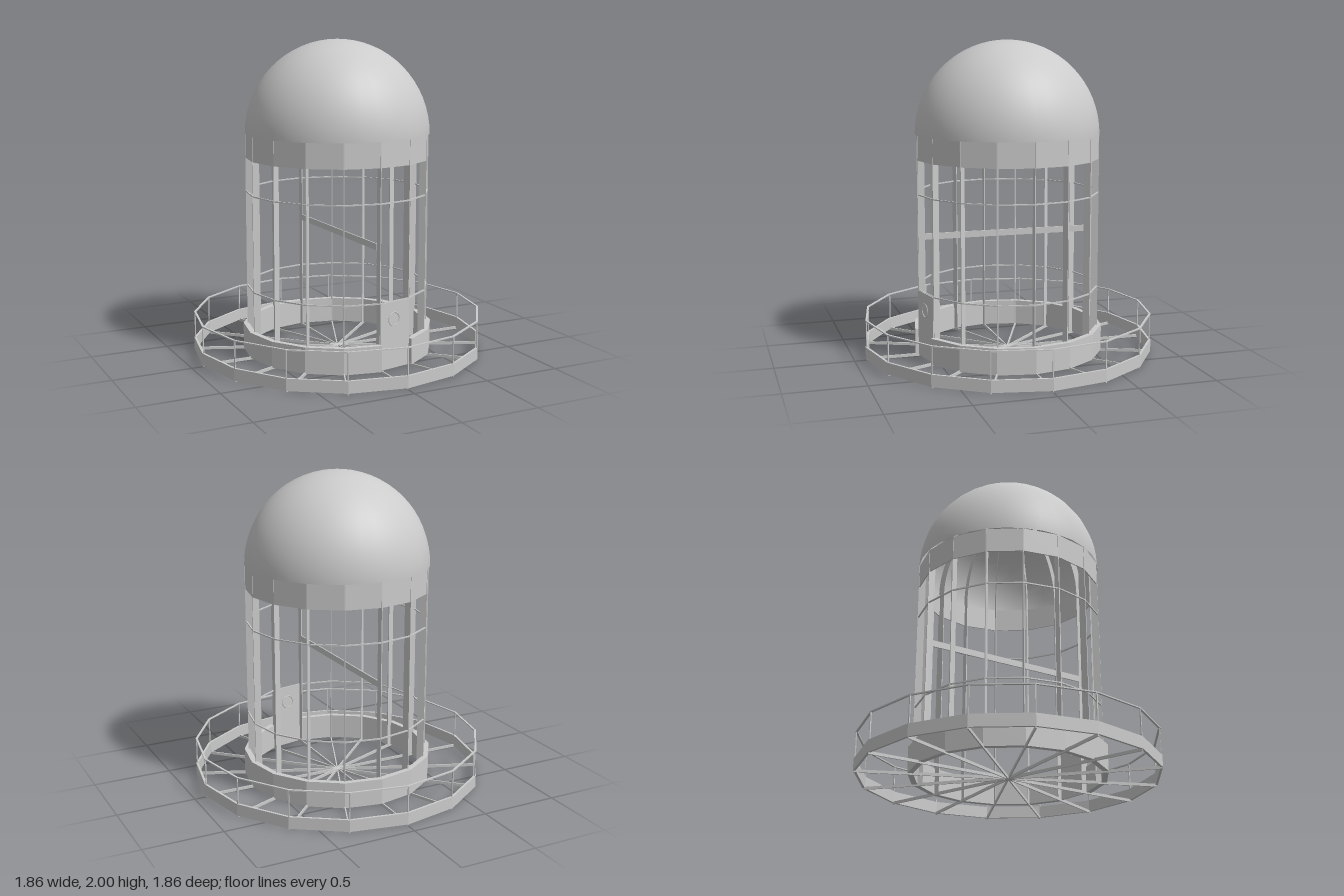
import * as THREE from 'three';

const SIDES = 16;
const STEP = (Math.PI * 2) / SIDES;

export function createModel() {
  const model = new THREE.Group();
  const grey = new THREE.MeshStandardMaterial({ color: 0xcccccc, side: THREE.DoubleSide });

  function add(name, geometry, parent = model) {
    const mesh = new THREE.Mesh(geometry, grey);
    mesh.name = name;
    parent.add(mesh);
    return mesh;
  }

  // Sixteen-sided ring, or part of one, counted in sides from the front towards +x
  function ring(name, rOut, rIn, y0, y1, from = 0, to = SIDES) {
    const at = (r, i) => new THREE.Vector2(r * Math.sin(i * STEP), -r * Math.cos(i * STEP));
    const points = [];
    for (let i = from; i <= to; i++) points.push(at(rOut, i));
    for (let i = to; i >= from; i--) points.push(at(rIn, i));
    const geometry = new THREE.ExtrudeGeometry(new THREE.Shape(points), { depth: y1 - y0, bevelEnabled: false });
    geometry.rotateX(-Math.PI / 2).translate(0, y0, 0);
    return add(name, geometry);
  }

  // One copy of a part at each corner; the part is built pointing along +z
  function around(name, geometry) {
    const group = new THREE.Group();
    group.name = name + 's';
    for (let i = 0; i < SIDES; i++) add(name, geometry, group).rotation.y = i * STEP;
    model.add(group);
  }

  // Walkway: outer band, floor spokes and railing
  ring('walkwayRim', 0.93, 0.915, 0.01, 0.085);
  around('floorSpoke', new THREE.BoxGeometry(0.008, 0.018, 0.925).translate(0, 0.009, 0.4625));
  around('railingPost', new THREE.BoxGeometry(0.007, 0.17, 0.007).translate(0, 0.168, 0.922));
  ring('handrail', 0.928, 0.915, 0.25, 0.257);

  // Base wall, left open at the door
  ring('baseWall', 0.61, 0.575, 0.01, 0.175, 1, SIDES);

  // Mullions that curve over into dome ribs
  const springY = 1.41;
  const rib = new THREE.Shape();
  rib.moveTo(0.54, 0.01);
  rib.lineTo(0.584, 0.01);
  rib.lineTo(0.584, springY);
  rib.absarc(0, springY, 0.584, 0, Math.PI / 2, false);
  rib.lineTo(0, springY + 0.54);
  rib.absarc(0, springY, 0.54, Math.PI / 2, 0, true);
  rib.closePath();
  const ribGeometry = new THREE.ExtrudeGeometry(rib, { depth: 0.006, bevelEnabled: false, curveSegments: 16 });
  ribGeometry.translate(0, 0, -0.003).rotateY(-Math.PI / 2);
  around('mullionRib', ribGeometry);

  // Glazing bars and the band under the dome
  ring('lowerGlazingBar', 0.583, 0.575, 0.425, 0.433);
  ring('upperGlazingBar', 0.583, 0.575, 1.036, 1.044);
  ring('domeBand', 0.582, 0.575, 1.255, springY);

  // Dome
  const dome = new THREE.SphereGeometry(0.585, 32, 16, 0, Math.PI * 2, 0, Math.PI / 2);
  dome.scale(1, 0.59 / 0.585, 1).translate(0, springY, 0);
  add('dome', dome);

  // Cross beam from front to back
  add('crossBeam', new THREE.BoxGeometry(0.008, 0.04, 1.08)).position.set(0, 0.772, 0);

  // Door filling one side, with a round fitting on both faces
  const door = new THREE.Group();
  door.name = 'door';
  door.rotation.y = STEP / 2;
  model.add(door);
  const apothem = 0.584 * Math.cos(STEP / 2);
  add('doorPanel', new THREE.BoxGeometry(0.226, 0.42, 0.01), door).position.set(0, 0.22, apothem);
  for (const side of [-1, 1]) {
    add('doorRing', new THREE.TorusGeometry(0.042, 0.004, 6, 16), door).position.set(-0.008, 0.32, apothem + side * 0.005);
  }

  return model;
}
